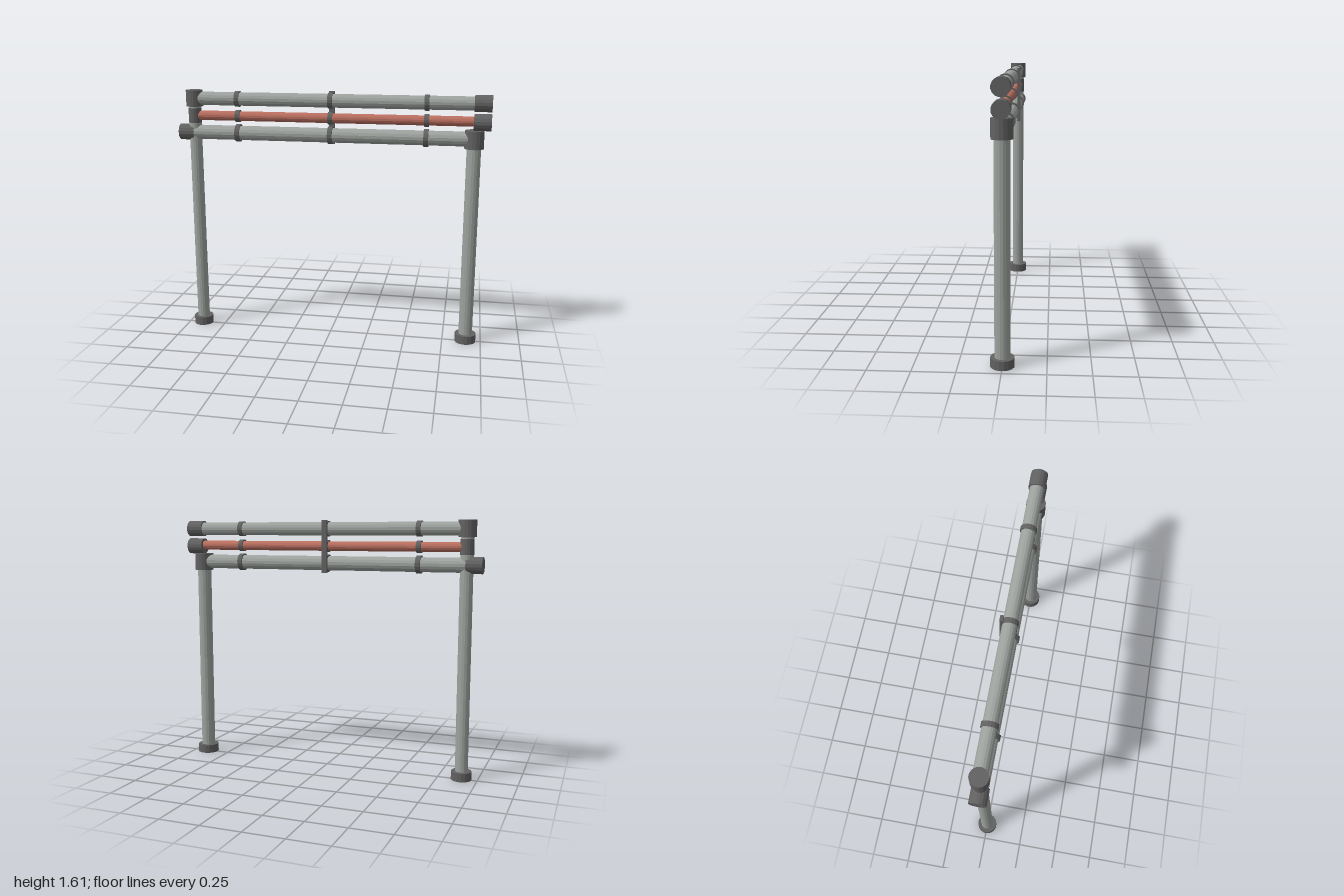
import * as THREE from 'three';

const pipeGrey = new THREE.MeshStandardMaterial({ color: 0x9ea39f });
pipeGrey.name = 'pipe grey';
const fittingGrey = new THREE.MeshStandardMaterial({ color: 0x626263 });
fittingGrey.name = 'fitting grey';
const copper = new THREE.MeshStandardMaterial({ color: 0xbb7060 });
copper.name = 'copper red';

const POST_X = 0.9;

// Faceted cylinder between two positions along an axis
function tube(name, material, radius, from, to, axis, a, segments = 16) {
  const g = new THREE.CylinderGeometry(radius, radius, to - from, segments);
  g.rotateY(Math.PI / segments);
  if (axis === 'x') g.rotateZ(-Math.PI / 2);
  const flat = g.toNonIndexed();
  flat.computeVertexNormals();
  const mesh = new THREE.Mesh(flat, material);
  mesh.name = name;
  const mid = (from + to) / 2;
  // a is the height for a level tube, the x position for an upright one
  if (axis === 'x') mesh.position.set(mid, a, 0);
  else mesh.position.set(a, mid, 0);
  return mesh;
}

export function createModel() {
  const model = new THREE.Group();
  model.name = 'pipeFrame';
  const level = (name, mat, r, x0, x1, y) => model.add(tube(name, mat, r, x0, x1, 'x', y));
  const upright = (name, mat, r, y0, y1, x) => model.add(tube(name, mat, r, y0, y1, 'y', x));

  // Posts and feet
  upright('rightPost', pipeGrey, 0.04, 0.01, 1.55, -POST_X);
  upright('leftPost', pipeGrey, 0.045, 0.01, 1.34, POST_X);
  upright('rightFoot', fittingGrey, 0.064, 0, 0.055, -POST_X);
  upright('leftFoot', fittingGrey, 0.069, 0, 0.055, POST_X);

  // Horizontal pipes with their clamp rings
  const pipes = [
    { name: 'upper', mat: pipeGrey, y: 1.557, r: 0.043, ring: 0.05, x0: -0.9, x1: 0.95 },
    { name: 'middle', mat: copper, y: 1.447, r: 0.031, ring: 0.039, x0: -0.9, x1: 0.95 },
    { name: 'lower', mat: pipeGrey, y: 1.338, r: 0.046, ring: 0.056, x0: -0.95, x1: 0.9 },
  ];
  for (const p of pipes) {
    level(p.name + 'Pipe', p.mat, p.r, p.x0, p.x1, p.y);
    for (const x of [-0.607, 0, 0.605]) {
      level(p.name + 'Clamp', fittingGrey, p.ring, x - 0.015, x + 0.015, p.y);
    }
  }

  // End caps
  level('upperEndCap', fittingGrey, 0.052, 0.893, 1, 1.558);
  level('middleEndCap', fittingGrey, 0.052, 0.893, 1, 1.442);
  level('lowerEndCap', fittingGrey, 0.052, -1, -0.9, 1.338);

  // Upright collars on the posts
  upright('upperCollar', fittingGrey, 0.055, 1.506, 1.61, -POST_X);
  upright('middleCollar', fittingGrey, 0.0425, 1.4, 1.495, -POST_X);
  upright('lowerCollar', fittingGrey, 0.061, 1.28, 1.392, POST_X);

  // Bracket strap joining the middle clamps at the back
  const strap = new THREE.Mesh(new THREE.BoxGeometry(0.036, 0.335, 0.02), fittingGrey);
  strap.name = 'backStrap';
  strap.position.set(0, 1.444, -0.048);
  model.add(strap);

  return model;
}
